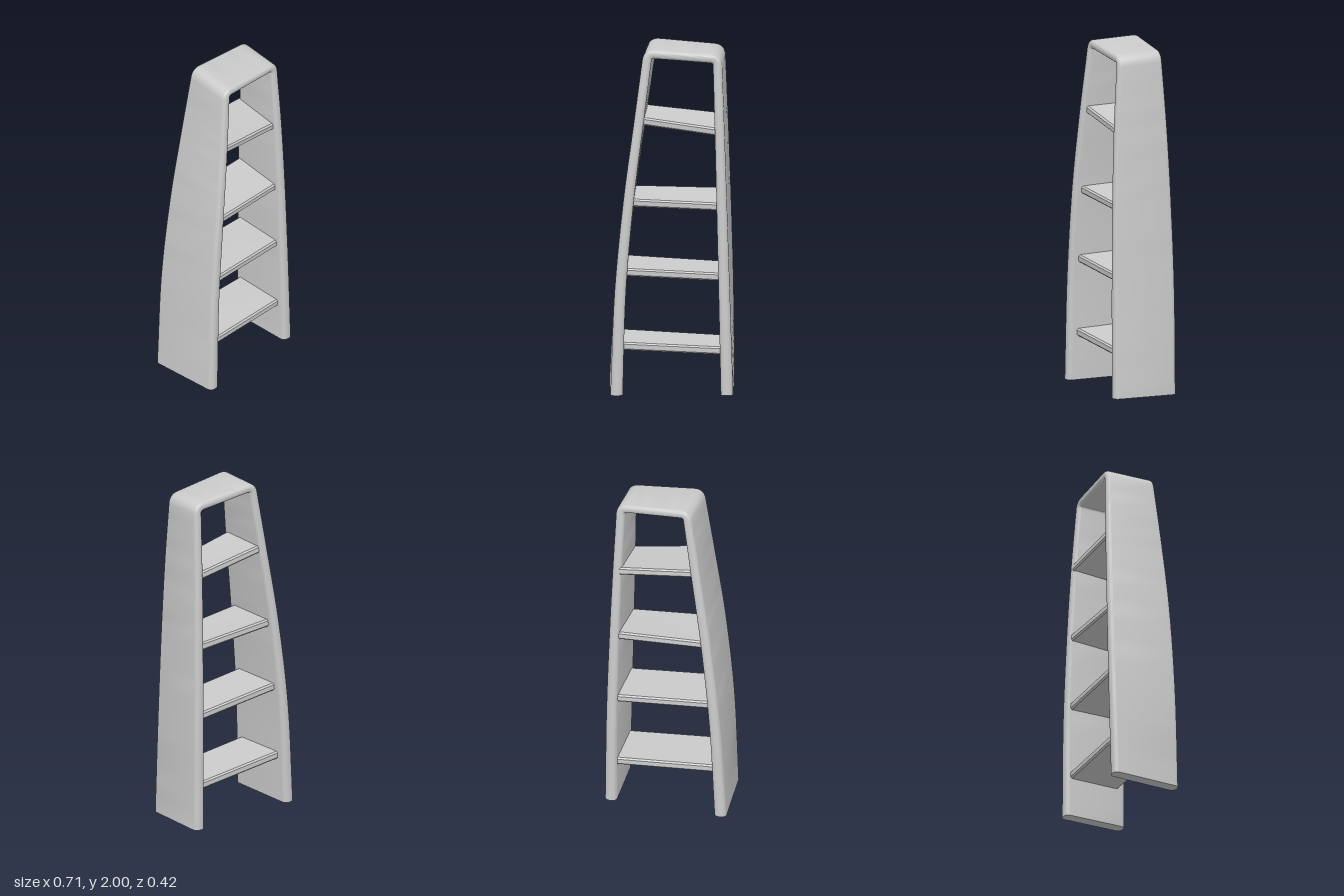
import * as THREE from 'three';
import { toCreasedNormals } from 'three/addons/utils/BufferGeometryUtils.js';

const V = (x, y, z) => new THREE.Vector3(x, y, z);

// Rounded rectangle, counter-clockwise, centred: w wide, h high, corner radius r
function roundedRect(w, h, r, steps) {
  const pts = [];
  for (let q = 0; q < 4; q++) {
    const cx = (q === 0 || q === 3 ? 1 : -1) * (w / 2 - r);
    const cy = (q < 2 ? 1 : -1) * (h / 2 - r);
    for (let s = 0; s <= steps; s++) {
      const a = (q + s / steps) * Math.PI / 2;
      pts.push([cx + r * Math.cos(a), cy + r * Math.sin(a)]);
    }
  }
  return pts;
}

// Loft a rounded slab between a front edge and a back edge (matching point lists)
function slab(front, back, thickness, roundness, steps) {
  const n = front.length, pos = [], index = [];
  const mid = front.map((p, i) => p.clone().add(back[i]).multiplyScalar(0.5));
  const m = (steps + 1) * 4;
  for (let i = 0; i < n; i++) {
    const across = back[i].clone().sub(front[i]);
    const width = across.length();
    across.normalize();
    const along = mid[Math.min(i + 1, n - 1)].clone().sub(mid[Math.max(i - 1, 0)]).normalize();
    const out = along.cross(across);
    if (front[i].y === 0) out.setY(0); // feet are cut level with the ground
    out.normalize();
    const t = thickness(i / (n - 1));
    for (const [a, b] of roundedRect(width, t, t * roundness, steps)) {
      const p = mid[i].clone().addScaledVector(across, a).addScaledVector(out, b);
      pos.push(p.x, p.y, p.z);
    }
  }
  for (let i = 0; i < n - 1; i++) {
    for (let j = 0; j < m; j++) {
      const k = (j + 1) % m, a = i * m + j, b = i * m + k;
      index.push(a, b, b + m, a, b + m, a + m);
    }
  }
  const last = (n - 1) * m;
  for (let j = 1; j < m - 1; j++) {
    index.push(0, j + 1, j, last, last + j, last + j + 1);
  }
  const g = new THREE.BufferGeometry();
  g.setAttribute('position', new THREE.Float32BufferAttribute(pos, 3));
  g.setIndex(index);
  return toCreasedNormals(g, 0.6);
}

// One edge of the frame: up the right-hand leg, over the top, down the other leg
const LEVELS = [0, 0.6, 1.13, 1.55];
function frameEdge(rightX, rightZ, rightTop, leftX, leftZ, leftTop) {
  const leg = (xs, zs, top) => xs.map((x, i) => V(x, i < 4 ? LEVELS[i] : top, zs[i]));
  const a = leg(rightX, rightZ, rightTop), b = leg(leftX, leftZ, leftTop);
  const cornerA = a[4].clone(), cornerB = b[4].clone(), R = 0.038;
  const toward = (p, q) => p.clone().lerp(q, R / p.distanceTo(q));
  a[4] = toward(cornerA, a[3]);
  b[4] = toward(cornerB, b[3]);
  const topA = toward(cornerA, cornerB), topB = toward(cornerB, cornerA);
  return [
    ...new THREE.CatmullRomCurve3(a).getPoints(24),
    ...new THREE.QuadraticBezierCurve3(a[4], cornerA, topA).getPoints(8).slice(1),
    ...new THREE.LineCurve3(topA, topB).getPoints(6).slice(1),
    ...new THREE.QuadraticBezierCurve3(topB, cornerB, b[4]).getPoints(8).slice(1),
    ...new THREE.CatmullRomCurve3(b.reverse()).getPoints(24).slice(1),
  ];
}

export function createModel() {
  const group = new THREE.Group();
  const material = new THREE.MeshStandardMaterial({ color: 0xcccccc });
  const add = (name, geometry) => {
    const mesh = new THREE.Mesh(geometry, material);
    mesh.name = name;
    group.add(mesh);
  };

  // Leaning, tapering side panels and top in one bent band
  const front = frameEdge(
    [-0.31, -0.29, -0.243, -0.19, -0.138], [0.21, 0.205, 0.195, 0.175, 0.147], 1.96,
    [0.312, 0.295, 0.28, 0.268, 0.256], [0.2, 0.195, 0.185, 0.17, 0.147], 1.93);
  const back = frameEdge(
    [-0.322, -0.288, -0.232, -0.172, -0.11], [-0.21, -0.21, -0.192, -0.168, -0.14], 1.975,
    [0.318, 0.315, 0.303, 0.29, 0.276], [-0.18, -0.176, -0.16, -0.14, -0.113], 1.947);
  add('frame', slab(front, back, (u) => 0.05 + 0.02 * Math.abs(2 * u - 1) ** 2, 0.42, 5));

  // Crooked shelves: end x, then top heights front/back at each end, then half depth
  const shelves = [
    { x: [-0.302, 0.308], right: [0.298, 0.308], left: [0.268, 0.274], depth: 0.157 },
    { x: [-0.278, 0.3], right: [0.725, 0.737], left: [0.695, 0.702], depth: 0.157 },
    { x: [-0.237, 0.29], right: [1.126, 1.14], left: [1.1, 1.13], depth: 0.155 },
    { x: [-0.176, 0.274], right: [1.598, 1.612], left: [1.53, 1.565], depth: 0.148 },
  ];
  const T = 0.045;
  shelves.forEach(({ x, right, left, depth }, i) => {
    const edge = (k, z) => [V(x[0], right[k] - T / 2, z), V(x[1], left[k] - T / 2, z * 0.96)];
    add(`shelf${i + 1}`, slab(edge(0, depth), edge(1, -depth), () => T, 0.2, 1));
  });
  return group;
}
